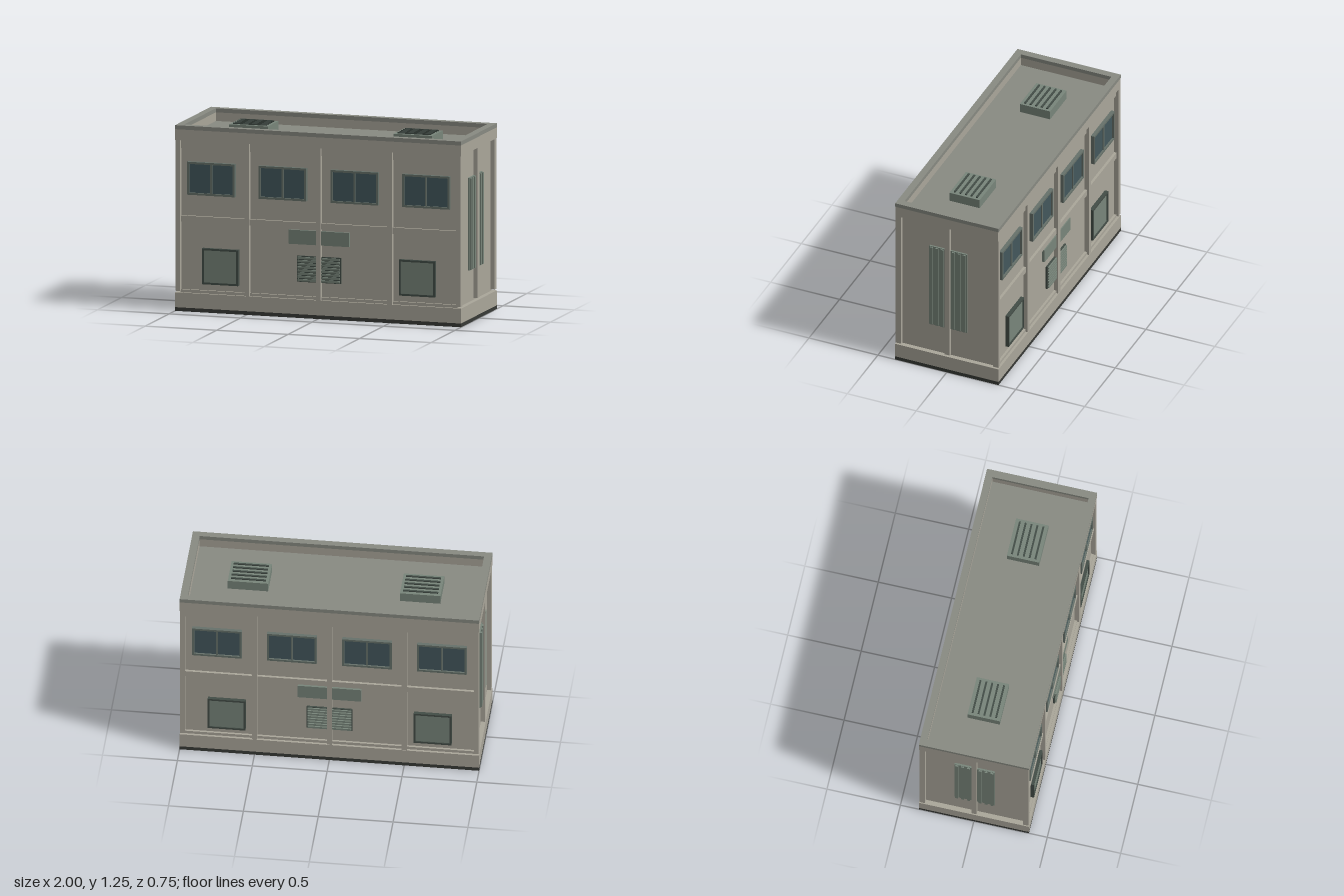
import * as THREE from 'three';

const mat = (color) => new THREE.MeshStandardMaterial({ color });

export function createModel() {
  const wall = mat(0xaaa69a), roof = mat(0x888a82), green = mat(0x78857a);
  const glass = mat(0x43575c), frame = mat(0x434d47), trim = mat(0x66716a), dark = mat(0x383a36);
  const model = new THREE.Group();
  const W = 1, D = 0.375;      // half width and half depth
  const WX = 0.968, WZ = 0.342; // wall planes

  // Box given by its extents
  function box(parent, name, m, x0, x1, y0, y1, z0, z1) {
    const mesh = new THREE.Mesh(new THREE.BoxGeometry(x1 - x0, y1 - y0, z1 - z0), m);
    mesh.position.set((x0 + x1) / 2, (y0 + y1) / 2, (z0 + z1) / 2);
    mesh.name = name;
    parent.add(mesh);
    return mesh;
  }

  // Rectangular ring lying flat, used for the parapet
  function ring(name, m, w, d, iw, id, y0, y1) {
    const rect = (C, a, b) => {
      const s = new C();
      s.moveTo(-a, -b); s.lineTo(a, -b); s.lineTo(a, b); s.lineTo(-a, b); s.closePath();
      return s;
    };
    const shape = rect(THREE.Shape, w, d);
    shape.holes.push(rect(THREE.Path, iw, id));
    const geo = new THREE.ExtrudeGeometry(shape, { depth: y1 - y0, bevelEnabled: false });
    geo.rotateX(-Math.PI / 2);
    const mesh = new THREE.Mesh(geo, m);
    mesh.position.y = y0;
    mesh.name = name;
    model.add(mesh);
  }

  // Four bars around an opening on a front-facing wall
  function border(parent, name, m, x0, x1, y0, y1, t, z0, z1) {
    box(parent, name, m, x0, x1, y1 - t, y1, z0, z1);
    box(parent, name, m, x0, x1, y0, y0 + t, z0, z1);
    box(parent, name, m, x0, x0 + t, y0 + t, y1 - t, z0, z1);
    box(parent, name, m, x1 - t, x1, y0 + t, y1 - t, z0, z1);
  }

  // Base, body and roof
  box(model, 'baseSkirt', dark, -W, W, 0, 0.025, -D, D);
  box(model, 'plinth', wall, -W, W, 0.025, 0.125, -D, D);
  box(model, 'body', wall, -WX, WX, 0.125, 1.15, -WZ, WZ);
  box(model, 'roofDeck', roof, -0.96, 0.96, 1.15, 1.165, -0.34, 0.34);
  ring('parapet', wall, W, D - 0.002, 0.95, 0.328, 1.15, 1.223);
  ring('parapetCap', roof, W, D, 0.95, 0.328, 1.223, 1.25);

  // Corner posts
  for (const sx of [-1, 1]) for (const sz of [-1, 1]) {
    const post = box(model, 'cornerPost', wall, 0.965, 0.997, 0.135, 1.15, 0.334, 0.372);
    post.position.x *= sx;
    post.position.z *= sz;
  }

  // One long facade, facing +z
  function facade(name) {
    const g = new THREE.Group();
    g.name = name;
    for (const x of [-0.5, 0, 0.5]) box(g, 'post', wall, x - 0.017, x + 0.017, 0.125, 1.15, WZ, 0.372);
    box(g, 'middleRail', wall, -WX, WX, 0.6, 0.642, WZ, 0.36);
    box(g, 'headerRail', wall, -WX, WX, 1.095, 1.15, WZ, 0.355);
    box(g, 'bottomRail', wall, -WX, WX, 0.125, 0.145, WZ, 0.358);

    // Windows
    for (const x of [-0.752, -0.252, 0.25, 0.75]) {
      const w = new THREE.Group();
      w.name = 'window';
      border(w, 'windowFrame', trim, x - 0.166, x + 0.166, 0.785, 1.007, 0.014, WZ, 0.367);
      box(w, 'windowPane', glass, x - 0.152, x + 0.152, 0.799, 0.993, WZ, 0.355);
      box(w, 'mullion', trim, x - 0.006, x + 0.006, 0.799, 0.993, WZ, 0.363);
      g.add(w);
    }

    // Service hatches
    for (const x of [-0.688, 0.688]) {
      border(g, 'hatchFrame', frame, x - 0.126, x + 0.126, 0.188, 0.43, 0.013, WZ, 0.367);
      box(g, 'hatchPanel', green, x - 0.113, x + 0.113, 0.201, 0.417, WZ, 0.36);
    }

    // Blank plate and slatted grille behind the middle post
    box(g, 'plate', green, -0.213, 0.211, 0.493, 0.588, WZ, 0.36);
    box(g, 'grilleBack', frame, -0.154, 0.152, 0.24, 0.415, WZ, 0.354);
    for (let i = 0; i < 8; i++) {
      const y = 0.253 + i * 0.0213;
      box(g, 'grilleSlat', green, -0.148, 0.146, y - 0.007, y + 0.007, 0.354, 0.364);
    }
    return g;
  }
  const back = facade('backFacade');
  back.rotation.y = Math.PI;
  model.add(facade('frontFacade'), back);

  // One end wall, facing +x
  function endWall(name) {
    const g = new THREE.Group();
    g.name = name;
    box(g, 'endPost', wall, WX, 0.997, 0.138, 1.15, -0.018, 0.018);
    box(g, 'endVent', green, WX, 0.98, 0.34, 0.965, -0.137, 0.137);
    for (let i = 0; i < 7; i++) {
      const z = -0.12 + i * 0.04;
      box(g, 'endVentFin', green, 0.98, 0.99, 0.345, 0.96, z - 0.01, z + 0.01);
    }
    return g;
  }
  const left = endWall('leftEnd'), right = endWall('rightEnd');
  right.rotation.y = Math.PI;
  model.add(left, right);

  // Rooftop vents
  for (const x of [-0.575, 0.575]) {
    const v = new THREE.Group();
    v.name = 'roofVent';
    box(v, 'ventBox', green, x - 0.135, x + 0.135, 1.165, 1.228, -0.11, 0.11);
    for (let i = -2; i <= 2; i++) {
      const z = i * 0.04;
      box(v, 'ventSlat', frame, x - 0.117, x + 0.117, 1.228, 1.236, z - 0.006, z + 0.006);
    }
    model.add(v);
  }
  return model;
}
